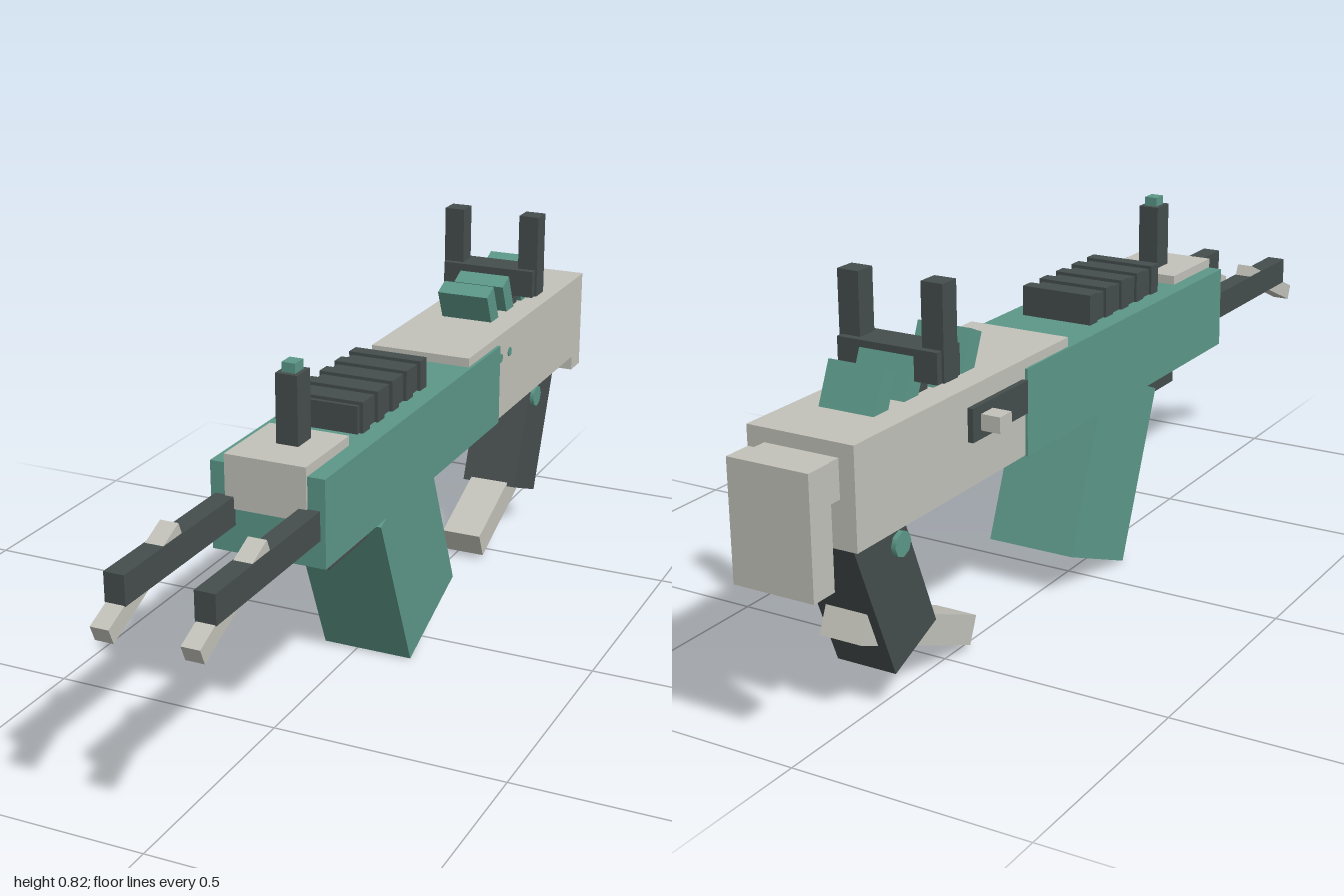
import * as THREE from 'three';

export function createModel() {
  const model = new THREE.Group();
  model.name = 'blaster';

  const mat = (name, color) => {
    const m = new THREE.MeshStandardMaterial({ color });
    m.name = name;
    return m;
  };
  const teal = mat('teal', 0x5c9788);
  const light = mat('light grey', 0xc2c2ba);
  const dark = mat('charcoal', 0x454e4d);

  // Box from its extents along x, y and z
  const box = (name, material, [x0, x1], [y0, y1], [z0, z1]) => {
    const mesh = new THREE.Mesh(new THREE.BoxGeometry(x1 - x0, y1 - y0, z1 - z0), material);
    mesh.position.set((x0 + x1) / 2, (y0 + y1) / 2, (z0 + z1) / 2);
    mesh.name = name;
    model.add(mesh);
    return mesh;
  };

  // Box pitched about the x axis around its centre
  const tilted = (name, material, [x0, x1], [y, z], [h, d], angle) => {
    const mesh = box(name, material, [x0, x1], [y - h / 2, y + h / 2], [z - d / 2, z + d / 2]);
    mesh.rotation.x = angle;
    return mesh;
  };

  // Pin lying along x
  const pin = (name, x0, x1, y, z, radius) => {
    const mesh = new THREE.Mesh(new THREE.CylinderGeometry(radius, radius, x1 - x0, 8), teal);
    mesh.rotation.z = Math.PI / 2;
    mesh.position.set((x0 + x1) / 2, y, z);
    mesh.name = name;
    model.add(mesh);
  };

  // Main housings
  box('foreBody', teal, [-0.098, 0.145], [0.398, 0.58], [-0.335, 0.55]);
  box('rearBody', light, [-0.093, 0.138], [0.4, 0.6], [-0.905, -0.165]);

  // Shoulder stock
  box('stockNeck', light, [-0.06, 0.1], [0.495, 0.572], [-0.95, -0.9]);
  box('buttPlate', light, [-0.067, 0.108], [0.335, 0.575], [-1, -0.94]);

  // Front sight
  box('frontSightBase', light, [-0.065, 0.108], [0.49, 0.6], [0.37, 0.555]);
  box('frontSightPost', dark, [0, 0.047], [0.6, 0.742], [0.412, 0.466]);
  box('frontSightTip', teal, [0.009, 0.038], [0.742, 0.762], [0.422, 0.456]);

  // Ribbed top rail
  box('topRail', dark, [-0.053, 0.097], [0.57, 0.638], [-0.01, 0.31]);
  for (let i = 0; i < 5; i++) {
    const z = 0.285 - i * 0.07;
    box('railRib', dark, [-0.059, 0.105], [0.575, 0.645], [z - 0.016, z + 0.016]);
  }

  // Magazine and the block in front of it
  box('magazineBlock', dark, [-0.041, 0.088], [0.333, 0.41], [0.15, 0.42]);
  tilted('magazine', teal, [-0.078, 0.125], [0.2325, 0.0675], [0.395, 0.253], 0.39);

  // Twin prongs, each crossed by a slanted blade
  for (const x of [-0.067, 0.113]) {
    box('prong', dark, [x - 0.021, x + 0.021], [0.455, 0.515], [0.5, 0.945]);
    tilted('prongBlade', light, [x - 0.019, x + 0.019], [0.47, 0.87], [0.035, 0.265], 0.41);
  }

  // Grip with slanted foot bar and cross pin
  tilted('grip', dark, [-0.042, 0.092], [0.262, -0.7225], [0.334, 0.15], -0.383);
  tilted('gripBar', light, [-0.022, 0.072], [0.1175, -0.6125], [0.062, 0.4], 0.397);
  pin('gripPin', -0.052, 0.102, 0.337, -0.707, 0.026);

  // Rear sight
  box('rearSightFoot', dark, [-0.03, 0.077], [0.595, 0.64], [-0.612, -0.583]);
  box('rearSightBar', dark, [-0.088, 0.134], [0.63, 0.692], [-0.636, -0.56]);
  for (const x of [-0.0695, 0.1155])
    box('rearSightPost', dark, [x - 0.0235, x + 0.0235], [0.63, 0.818], [-0.621, -0.575]);

  // Slanted cooling fins
  for (let i = 0; i < 4; i++)
    tilted('coolingFin', teal, [-0.037, 0.084], [0.6, -0.454 - i * 0.0965], [0.16, 0.042], 0.41);

  // Bolt on the right side
  box('boltPlate', dark, [-0.105, -0.09], [0.493, 0.561], [-0.545, -0.345]);
  box('boltHandle', light, [-0.147, -0.1], [0.51, 0.543], [-0.517, -0.475]);

  // Small studs on the left side
  for (const z of [-0.355, -0.41]) pin('sideStud', 0.13, 0.14, 0.544, z, 0.011);

  return model;
}
